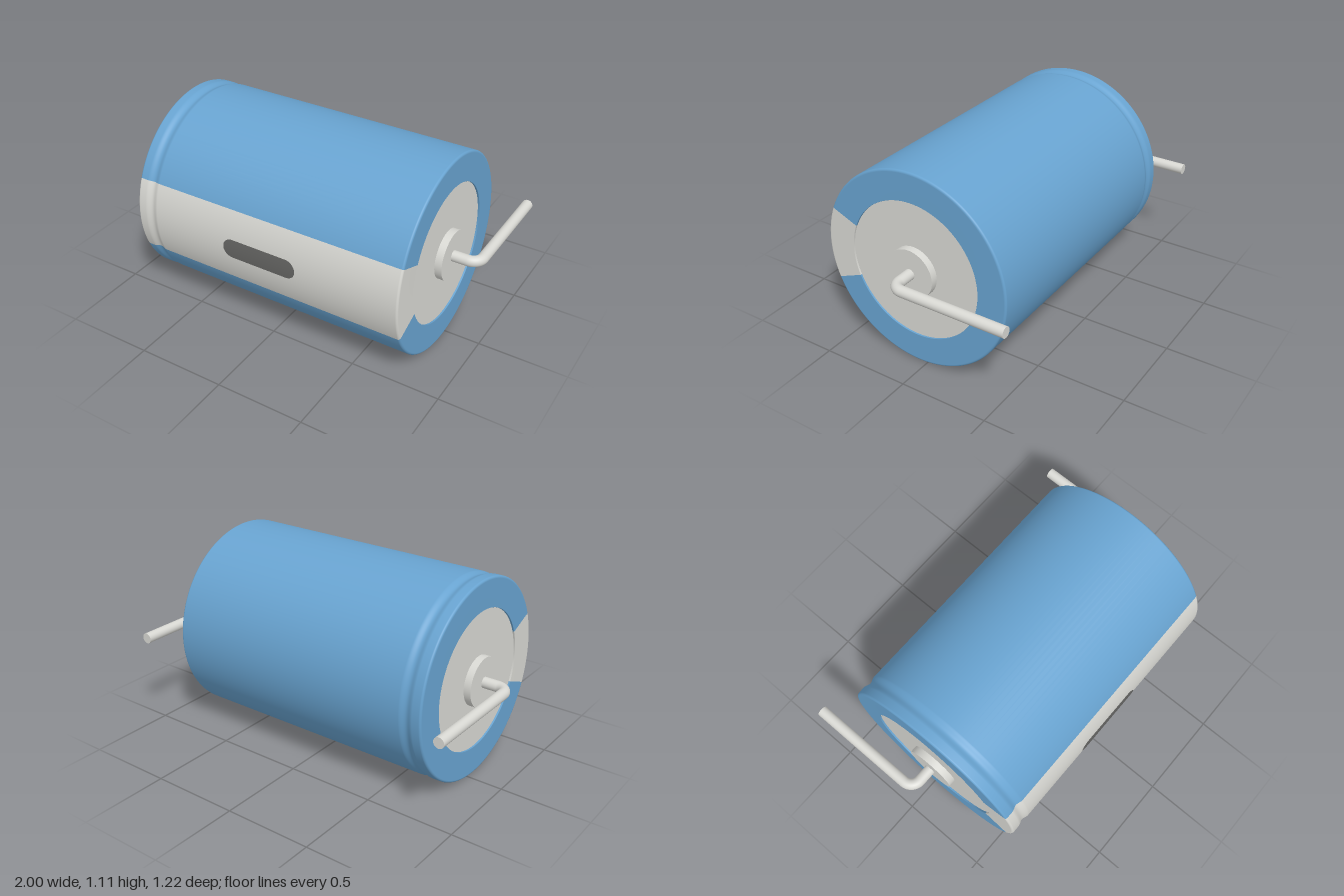
import * as THREE from 'three';

const R = 0.553, HALF = 0.8, HOLE = 0.388, STRIPE = 0.394;
const mat = (color, side = THREE.FrontSide) => new THREE.MeshStandardMaterial({ color, side });

// Sleeve profile (radius, height): left lip, rounded edge, groove, rounded edge, right lip
function sleeveProfile() {
  const pts = [], b = 0.012, e = 0.001;
  const add = (r, h) => pts.push(new THREE.Vector2(r, h));
  add(HOLE, -HALF + 0.02); add(HOLE, -HALF + e); add(HOLE + e, -HALF); add(R - b - e, -HALF);
  for (let i = 0; i <= 6; i++) {
    const a = (i / 6) * Math.PI / 2;
    add(R - b + b * Math.sin(a), -HALF + b - b * Math.cos(a));
  }
  for (let i = 0; i <= 16; i++) {
    const t = i / 16;
    add(R - 0.011 * Math.sin(Math.PI * t) ** 2, -0.75 + 0.08 * t);
  }
  for (let i = 0; i <= 6; i++) {
    const a = (i / 6) * Math.PI / 2;
    add(R - b + b * Math.cos(a), HALF - b + b * Math.sin(a));
  }
  add(R - b - e, HALF); add(HOLE + e, HALF); add(HOLE, HALF - e); add(HOLE, HALF - 0.02);
  return pts;
}

// Pill-shaped mark wrapped round the cylinder
function pillGeometry(halfLength, halfHeight, radius) {
  const g = new THREE.PlaneGeometry(2, 2, 1, 32), p = g.attributes.position;
  for (let i = 0; i < p.count; i++) {
    const a = p.getY(i) * Math.PI / 2;
    const angle = halfHeight * Math.sin(a) / radius;
    const w = halfLength - halfHeight + halfHeight * Math.cos(a);
    p.setXYZ(i, p.getX(i) * w, radius * Math.sin(angle), radius * Math.cos(angle));
  }
  g.computeVertexNormals();
  return g;
}

// Wire leaving the end cap and bending backwards
function leadPath(s) {
  const v = (x, z) => new THREE.Vector3(s * x, 0, z);
  const path = new THREE.CurvePath(), k = 0.06 * 0.4477;
  path.add(new THREE.LineCurve3(v(0.78, 0), v(0.91, 0)));
  path.add(new THREE.CubicBezierCurve3(v(0.91, 0), v(0.97 - k, 0), v(0.97, -k), v(0.97, -0.06)));
  path.add(new THREE.LineCurve3(v(0.97, -0.06), v(0.97, -0.664)));
  return path;
}

export function createModel() {
  const model = new THREE.Group();
  model.name = 'axialCapacitor';
  const body = new THREE.Group();
  body.name = 'body';
  body.position.set(0, 0.555, 0.055);
  model.add(body);

  const blue = mat(0x68a3d0), pale = mat(0xd8d8d3), metal = mat(0xd8d8d3);
  const add = (name, geometry, material) => {
    const mesh = new THREE.Mesh(geometry, material);
    mesh.name = name;
    body.add(mesh);
    return mesh;
  };

  // Coloured sleeve with a pale stripe along the front
  const profile = sleeveProfile();
  const sector = (start, length, segments) =>
    new THREE.LatheGeometry(profile, segments, start, length).rotateZ(-Math.PI / 2);
  add('sleeve', sector(STRIPE, Math.PI * 2 - STRIPE * 2, 112), blue);
  add('stripe', sector(-STRIPE, STRIPE * 2, 16), pale);
  add('polarityMark', pillGeometry(0.221, 0.056, R + 0.002), mat(0x666664, THREE.DoubleSide))
    .position.x = -0.005;

  // Recessed end core
  add('core', new THREE.CylinderGeometry(HOLE + 0.002, HOLE + 0.002, 1.58, 96)
    .rotateZ(Math.PI / 2), metal);

  for (const s of [1, -1]) {
    const side = s > 0 ? 'left' : 'right';
    // Raised boss
    add(side + 'Boss', new THREE.CylinderGeometry(0.138, 0.138, 0.05, 64)
      .rotateZ(Math.PI / 2), metal).position.x = s * 0.805;
    // Bent lead and its cut end
    add(side + 'Lead', new THREE.TubeGeometry(leadPath(s), 120, 0.03, 24), metal);
    add(side + 'LeadTip', new THREE.CircleGeometry(0.03, 24).rotateY(Math.PI), metal)
      .position.set(s * 0.97, 0, -0.664);
  }
  return model;
}
